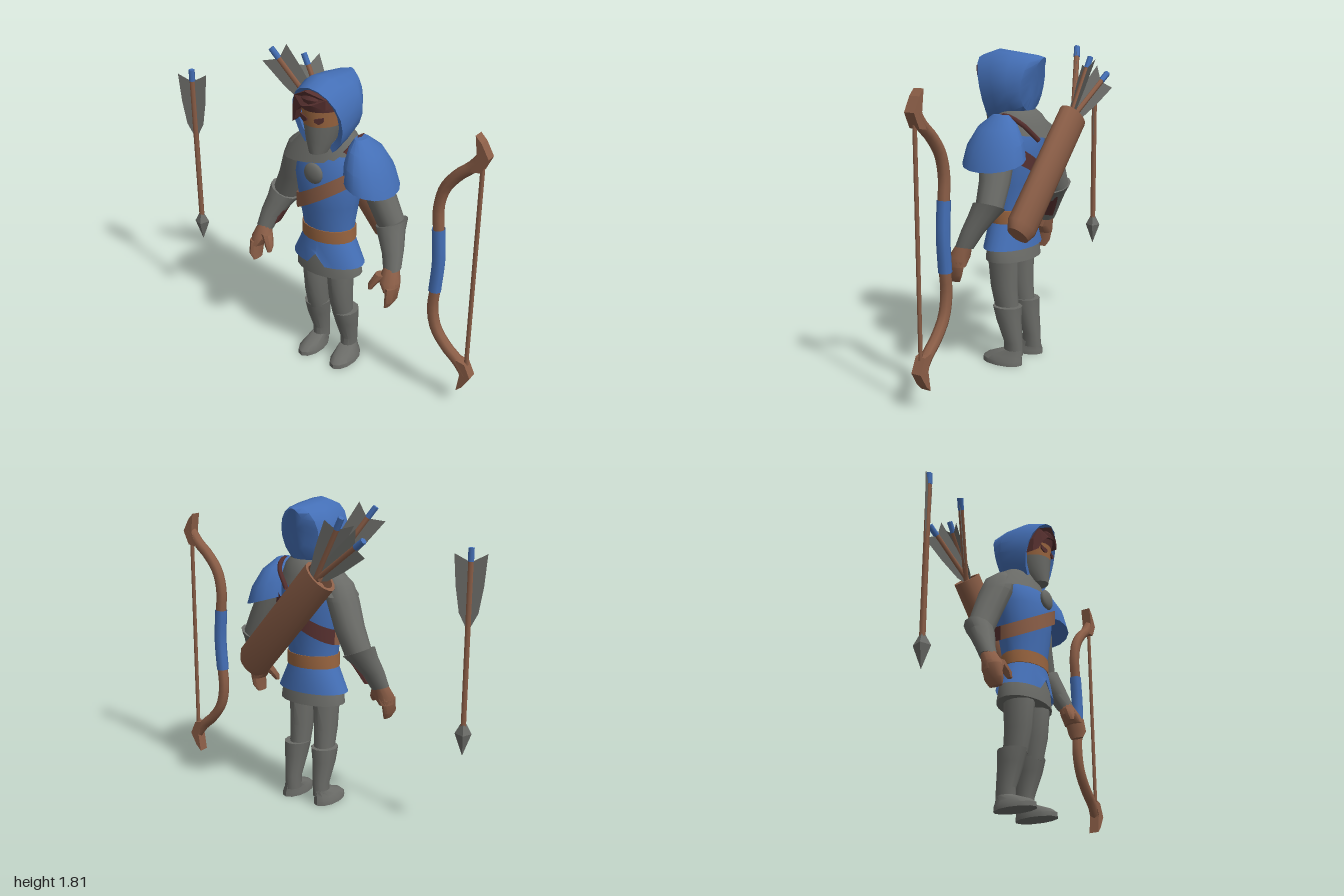
import * as THREE from 'three';
import { toCreasedNormals } from 'three/addons/utils/BufferGeometryUtils.js';

const mat = (name, color, side = THREE.FrontSide) =>
  Object.assign(new THREE.MeshStandardMaterial({ color, side }), { name });
const V = (x, y, z) => new THREE.Vector3(x, y, z);
const CX = 0.055; // body centre line

// Skin over a list of point loops, with optional end caps
function loft(loops, capped = true, crease = 0.65) {
  const n = loops[0].length, pos = [], idx = [];
  loops.forEach(l => l.forEach(p => pos.push(p.x, p.y, p.z)));
  for (let i = 0; i < loops.length - 1; i++)
    for (let j = 0; j < n; j++) {
      const a = i * n + j, b = i * n + (j + 1) % n;
      idx.push(a, b, a + n, b, b + n, a + n);
    }
  const cap = (i, flip) => {
    const c = loops[i].reduce((s, p) => s.add(p), V(0, 0, 0)).divideScalar(n);
    const k = pos.length / 3;
    pos.push(c.x, c.y, c.z);
    for (let j = 0; j < n; j++) {
      const a = i * n + j, b = i * n + (j + 1) % n;
      flip ? idx.push(k, b, a) : idx.push(k, a, b);
    }
  };
  if (capped) { cap(0, true); cap(loops.length - 1, false); }
  const g = new THREE.BufferGeometry();
  g.setAttribute('position', new THREE.Float32BufferAttribute(pos, 3));
  g.setIndex(idx);
  return toCreasedNormals(g, crease);
}

// Level oval: [y, centre x, centre z, radius x, radius z, sideways tilt]
const oval = ([y, cx, cz, rx, rz, tilt = 0], n) => Array.from({ length: n }, (_, j) => {
  const t = j / n * Math.PI * 2, dx = rx * Math.sin(t);
  return V(cx + dx, y + tilt * dx, cz + rz * Math.cos(t));
});
const body = (rows, n = 14, capped = true) => loft(rows.map(r => oval(r, n)), capped);

// Flat outline given a small depth
function plate(points, depth) {
  const s = new THREE.Shape(points.map(p => new THREE.Vector2(...p)));
  return new THREE.ExtrudeGeometry(s, { depth, bevelEnabled: false, curveSegments: 4 });
}

export function createModel() {
  const root = new THREE.Group();
  root.name = 'archer';
  const D = THREE.DoubleSide;
  const blue = mat('blue cloth', 0x446fb6, D), grey = mat('grey cloth', 0x6a6b67, D);
  const leather = mat('brown leather', 0x8b5e47, D), tan = mat('tan skin', 0x98643f);
  const maroon = mat('dark maroon', 0x56302f, D);
  const add = (name, geo, m, parent = root) => {
    const mesh = new THREE.Mesh(geo, m);
    mesh.name = name;
    parent.add(mesh);
    return mesh;
  };

  // Torso, belt and layered skirts
  const torso = [
    [0.82, CX, 0.07, 0.155, 0.118], [0.92, CX, 0.07, 0.157, 0.122], [1.05, CX, 0.07, 0.178, 0.142],
    [1.2, CX, 0.06, 0.205, 0.16], [1.32, CX, 0.045, 0.2, 0.14], [1.42, CX, 0.03, 0.12, 0.1]];
  add('tunic', body(torso, 18), blue);
  add('belt', body([[0.83, CX, 0.07, 0.165, 0.126], [0.905, CX, 0.07, 0.163, 0.126]], 18), tan);
  const hem = oval([0.685, CX, 0.07, 0.225, 0.138], 24);
  hem[0].y += 0.07;
  add('skirt', loft([hem, oval([0.77, CX, 0.07, 0.185, 0.13], 24),
    oval([0.835, CX, 0.07, 0.156, 0.121], 24)], false), blue);
  add('underSkirt', body([[0.615, CX, 0.065, 0.208, 0.135], [0.72, CX, 0.07, 0.195, 0.124],
    [0.78, CX, 0.07, 0.15, 0.11]], 20), grey);

  // Shoulder mantle, shoulder cape and brooch
  add('mantle', body([[1.3, -0.01, 0.035, 0.245, 0.165, 0.16], [1.36, 0.01, 0.035, 0.21, 0.145, 0.1],
    [1.43, 0.045, 0.035, 0.155, 0.12], [1.46, CX, 0.04, 0.12, 0.1]], 18, false), grey);
  add('shoulderCape', body([[1.2, 0.305, 0.03, 0.142, 0.185, -0.3], [1.3, 0.29, 0.03, 0.125, 0.165, -0.3],
    [1.39, 0.265, 0.03, 0.085, 0.115, -0.2], [1.445, 0.235, 0.03, 0.03, 0.05]], 16), blue);
  const trim = new THREE.CatmullRomCurve3([V(0.1, 1.3, -0.13), V(0.19, 1.4, -0.07), V(0.22, 1.44, 0.02), V(0.19, 1.37, 0.12)]);
  add('capeTrim', new THREE.TubeGeometry(trim, 12, 0.014, 5), maroon);
  const brooch = add('brooch', new THREE.SphereGeometry(0.06, 14, 10), grey);
  brooch.position.set(CX, 1.26, 0.22);
  brooch.scale.z = 0.4;

  // Slanted strap hugging the torso
  const around = (t, off) => {
    let p;
    let y = 1.13;
    for (let k = 0; k < 5; k++) {
      const i = Math.max(1, torso.findIndex(r => r[0] >= y)), a = torso[i - 1], b = torso[i];
      const r = a.map((v, q) => THREE.MathUtils.lerp(v, b[q], (y - a[0]) / (b[0] - a[0])));
      const dx = (r[3] + 0.018) * Math.sin(t);
      y = 1.13 + 0.6 * dx;
      p = V(CX + dx, y + off, r[2] + (r[4] + 0.02) * Math.cos(t));
    }
    return p;
  };
  const strap = (from, to) => {
    const pos = [], idx = [], n = 18;
    for (let i = 0; i <= n; i++) {
      const t = from + (to - from) * i / n;
      pos.push(...around(t, -0.045).toArray(), ...around(t, 0.045).toArray());
      if (i < n) idx.push(2 * i, 2 * i + 2, 2 * i + 1, 2 * i + 2, 2 * i + 3, 2 * i + 1);
    }
    const g = new THREE.BufferGeometry();
    g.setAttribute('position', new THREE.Float32BufferAttribute(pos, 3));
    g.setIndex(idx);
    g.computeVertexNormals();
    return g;
  };
  add('strapFront', strap(-1.9, 1.9), leather);
  add('strapBack', strap(1.9, Math.PI * 2 - 1.9), maroon);

  // Head: mask, bare eye strip, hair and eyes
  const skull = [[1.375, CX, 0.16, 0.05, 0.07], [1.45, CX, 0.13, 0.085, 0.105], [1.535, CX, 0.12, 0.105, 0.12],
    [1.62, CX, 0.12, 0.115, 0.125], [1.69, CX, 0.12, 0.11, 0.145], [1.735, CX, 0.12, 0.06, 0.11]];
  add('mask', body(skull.slice(0, 3), 20), grey);
  add('face', body(skull.slice(2, 4), 20), tan);
  add('hair', body(skull.slice(3), 20), maroon);
  const lock = plate([[0.15, 1.7], [0.04, 1.735], [-0.05, 1.69], [-0.08, 1.61], [-0.085, 1.525],
    [-0.055, 1.55], [-0.03, 1.61], [0.01, 1.65], [0.08, 1.665], [0.15, 1.645]], 0.05);
  const lp = lock.attributes.position;
  for (let i = 0; i < lp.count; i++) lp.setZ(i, lp.getZ(i) + 0.22 - 3 * (lp.getX(i) - CX) ** 2);
  lock.computeVertexNormals();
  add('hairLock', lock, maroon);
  for (const s of [-1, 1]) {
    const eye = add('eye', plate([[-0.026 * s, -0.012], [0, -0.022], [0.026 * s, -0.005], [0.026 * s, 0.018], [-0.026 * s, 0.004]], 0.008), maroon);
    eye.position.set(CX + s * 0.047, 1.578, 0.231);
    eye.rotation.y = s * 0.25;
  }

  // Hood: upright loops from the inside, round the brim, to the back peak
  // [top, bottom, half width, z at top, z at bottom]
  const hood = [[1.72, 1.42, 0.12, 0.1, 0.08], [1.74, 1.39, 0.13, 0.245, 0.15], [1.755, 1.345, 0.155, 0.26, 0.15],
    [1.79, 1.37, 0.17, 0.15, 0.08], [1.775, 1.42, 0.168, 0.02, 0.0], [1.76, 1.45, 0.125, -0.1, -0.05],
    [1.75, 1.52, 0.055, -0.14, -0.075]];
  add('hood', loft(hood.map(([top, bot, hw, zt, zb]) => Array.from({ length: 18 }, (_, j) => {
    const t = j / 18 * Math.PI * 2, u = (Math.cos(t) + 1) / 2;
    return V(CX + hw * Math.sin(t), bot + (top - bot) * u, zb + (zt - zb) * u * u);
  }))), blue);

  // Arms and legs, one pass for each side
  for (const s of [-1, 1]) {
    const side = s < 0 ? 'right' : 'left';
    const limb = (name, rows, m, n = 12) => add(side + name, body(rows.map(([y, d, cz, rx, rz, tilt = 0]) =>
      [y, CX + s * d, cz, rx, rz, s * tilt], 0), n), m);
    limb('Sleeve', [[0.97, 0.355, -0.01, 0.075, 0.075, 0.3], [1.1, 0.295, -0.005, 0.083, 0.085, 0.2],
      [1.25, 0.235, 0.015, 0.09, 0.1], [1.34, 0.2, 0.02, 0.085, 0.09], [1.4, 0.16, 0.02, 0.05, 0.05]], grey);
    limb('Bracer', [[0.75, 0.438, 0.1, 0.048, 0.05, 0.25], [0.84, 0.415, 0.06, 0.06, 0.06, 0.3],
      [0.92, 0.38, 0.02, 0.074, 0.074, 0.35], [0.975, 0.36, -0.01, 0.09, 0.085, 0.4]], grey);
    limb('Palm', [[0.65, 0.46, 0.14, 0.04, 0.06], [0.7, 0.44, 0.13, 0.062, 0.058], [0.77, 0.435, 0.1, 0.042, 0.044]], leather);
    limb('Fingers', [[0.56, 0.455, 0.16, 0.014, 0.04], [0.6, 0.468, 0.155, 0.027, 0.058], [0.68, 0.468, 0.14, 0.033, 0.06]], leather);
    limb('Thumb', [[0.64, 0.35, 0.18, 0.012, 0.015], [0.67, 0.357, 0.17, 0.024, 0.027], [0.73, 0.395, 0.14, 0.035, 0.035]], leather, 8);
    limb('Thigh', [[0.32, 0.087, 0.055, 0.058, 0.07], [0.45, 0.085, 0.075, 0.066, 0.082],
      [0.6, 0.084, 0.08, 0.073, 0.092], [0.7, 0.084, 0.08, 0.07, 0.09]], grey);
    limb('Boot', [[0.05, 0.1, 0.005, 0.046, 0.058], [0.13, 0.1, 0.005, 0.048, 0.056], [0.26, 0.1, 0.035, 0.068, 0.074],
      [0.34, 0.097, 0.045, 0.077, 0.087]], grey);
    limb('Foot', [[0, 0.115, 0.07, 0.07, 0.13], [0.025, 0.114, 0.07, 0.068, 0.128], [0.05, 0.11, 0.055, 0.056, 0.108],
      [0.085, 0.102, 0.008, 0.046, 0.06]], grey);
  }
  // Dark inner guard on the right forearm
  add('forearmGuard', body([[0.78, -0.325, 0.06, 0.015, 0.035], [0.86, -0.298, 0.03, 0.025, 0.045],
    [0.91, -0.27, 0, 0.015, 0.04]], 8), maroon);

  // Arrow hanging down from its nock at the origin
  function arrow(length, head) {
    const g = new THREE.Group();
    g.name = 'arrow';
    add('shaft', new THREE.CylinderGeometry(0.016, 0.016, length - 0.07, 6), leather, g).position.y = -(length + 0.07) / 2;
    add('nock', new THREE.CylinderGeometry(0.018, 0.018, 0.07, 6), blue, g).position.y = -0.035;
    const half = [[0.085, -0.03], [0.072, -0.2], [0.05, -0.34], [0.01, -0.42]];
    const vane = new THREE.Shape([[0, -0.075], ...half, ...half.map(([x, y]) => [-x, y]).reverse()].map(p => new THREE.Vector2(...p)));
    add('feathers', new THREE.ShapeGeometry(vane), grey, g);
    if (head) {
      const tip = new THREE.LatheGeometry([[0, -1.125], [0.045, -1.0], [0.016, -0.945], [0, -0.945]].map(p => new THREE.Vector2(...p)), 4);
      add('arrowHead', toCreasedNormals(tip, 0.3), grey, g);
    }
    root.add(g);
    return g;
  }
  const loose = arrow(0.96, true);
  loose.position.set(-0.92, 1.6, 0.065);
  loose.rotation.y = 0.42;

  // Quiver slung across the back with three arrows
  const low = V(0.35, 0.82, -0.15), mouth = V(-0.17, 1.41, -0.19), up = V(0, 1, 0);
  const L = low.distanceTo(mouth);
  const profile = [[0, 0], [0.08, 0], [0.107, 0.05], [0.105, L], [0.085, L], [0.085, L - 0.06], [0, L - 0.06]];
  const quiver = add('quiver', toCreasedNormals(new THREE.LatheGeometry(profile.map(p => new THREE.Vector2(...p)), 16), 0.65), leather);
  quiver.position.copy(low);
  quiver.quaternion.setFromUnitVectors(up, mouth.clone().sub(low).normalize());
  quiver.scale.z = 0.68;
  [[-0.435, 1.785, -0.07, 0.5], [-0.475, 1.635, -0.25, -0.4], [-0.32, 1.735, -0.22, 0.9]].forEach(([x, y, z, spin], i) => {
    const end = V(x, y, z), base = V(-0.16 + (i - 1) * 0.02, 1.4, -0.19);
    const a = arrow(end.distanceTo(base) + 0.02, false);
    a.position.copy(end);
    a.quaternion.setFromUnitVectors(up, end.clone().sub(base).normalize());
    a.rotateY(spin);
  });

  // Bow: curved limbs, blue grip, hooked tips and string
  const upper = [[0.955, 1.53], [0.9, 1.46], [0.83, 1.4], [0.755, 1.3], [0.727, 1.18], [0.735, 1.05]];
  const pts = [...upper, [0.745, 0.87], ...upper.map(([x, y]) => [x, 1.74 - y]).reverse()];
  const path = new THREE.CatmullRomCurve3(pts.map(([x, y]) => V(x, y, 0.05)));
  const bow = new THREE.Group();
  bow.name = 'bow';
  root.add(bow);
  add('bowLimbs', new THREE.TubeGeometry(path, 36, 0.032, 8), leather, bow);
  const grip = new THREE.CatmullRomCurve3([V(0.733, 1.06, 0.05), V(0.745, 0.87, 0.05), V(0.733, 0.68, 0.05)]);
  add('bowGrip', new THREE.TubeGeometry(grip, 8, 0.037, 8), blue, bow);
  for (const s of [-1, 1]) {
    const t = [[0.915, 0.77], [0.95, 0.735], [0.993, 0.66], [0.955, 0.58], [0.9, 0.57], [0.93, 0.66]];
    add('bowTip', plate(t.map(([x, y]) => [x, 0.87 + s * y]), 0.06), leather, bow).position.z = 0.02;
  }
  add('bowString', new THREE.CylinderGeometry(0.012, 0.012, 1.3, 6), leather, bow).position.set(0.953, 0.87, 0.05);

  return root;
}
